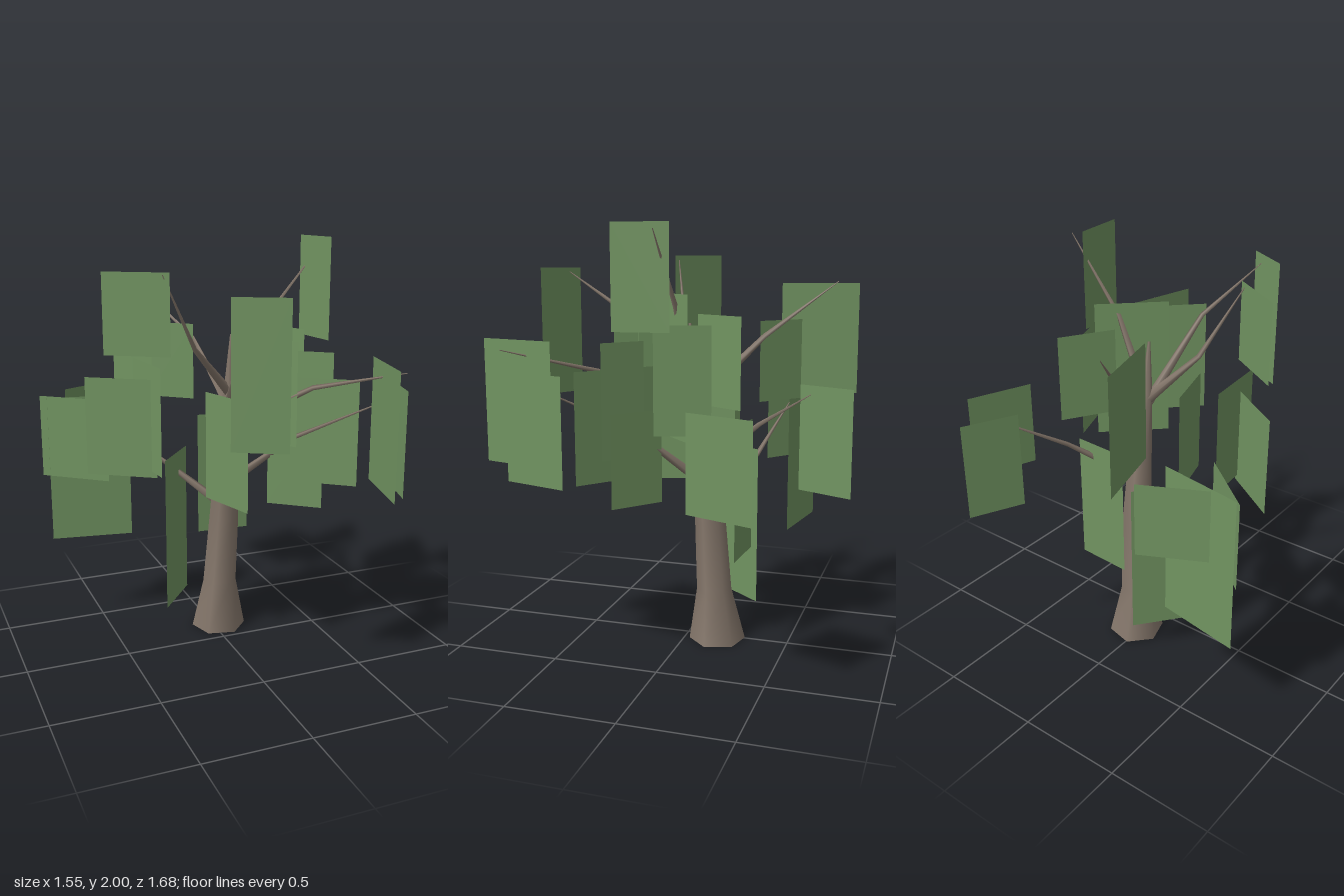
import * as THREE from 'three';

const bark = new THREE.MeshStandardMaterial({ color: 0x85776b });
bark.name = 'bark';
const leaf = new THREE.MeshStandardMaterial({ color: 0x719461, side: THREE.DoubleSide });
leaf.name = 'leaf green';

// Tapered limb: one ring of vertices per [x, y, z, radius] station
function limb(stations, sides, axis) {
  const q = new THREE.Quaternion().setFromUnitVectors(new THREE.Vector3(0, 1, 0), axis.clone().normalize());
  const pos = [], idx = [], v = new THREE.Vector3();
  stations.forEach(([x, y, z, r], i) => {
    for (let k = 0; k < sides; k++) {
      const a = (k / sides) * Math.PI * 2 + 0.29;
      v.set(Math.sin(a) * r, 0, Math.cos(a) * r).applyQuaternion(q);
      pos.push(v.x + x, v.y + y, v.z + z);
      if (i === 0) continue;
      const n = (k + 1) % sides, lo = (i - 1) * sides, hi = i * sides;
      idx.push(lo + k, lo + n, hi + n, lo + k, hi + n, hi + k);
    }
  });
  const g = new THREE.BufferGeometry();
  g.setAttribute('position', new THREE.Float32BufferAttribute(pos, 3));
  g.setIndex(idx);
  g.computeVertexNormals();
  // Base cap with its own vertices keeps the rim sharp
  const count = pos.length / 3;
  const normals = Array.from(g.attributes.normal.array);
  const down = axis.clone().normalize().negate();
  for (let k = 0; k < sides; k++) {
    pos.push(pos[k * 3], pos[k * 3 + 1], pos[k * 3 + 2]);
    normals.push(down.x, down.y, down.z);
    if (k > 0 && k < sides - 1) idx.push(count, count + k + 1, count + k);
  }
  g.setAttribute('position', new THREE.Float32BufferAttribute(pos, 3));
  g.setAttribute('normal', new THREE.Float32BufferAttribute(normals, 3));
  g.setIndex(idx);
  return g;
}

// Upright leaf card between two ground points (x, z), from y0 to y1
function card([xa, za, xb, zb, y0, y1]) {
  const g = new THREE.PlaneGeometry(Math.hypot(xb - xa, zb - za), y1 - y0);
  const m = new THREE.Mesh(g, leaf);
  m.position.set((xa + xb) / 2, (y0 + y1) / 2, (za + zb) / 2);
  m.rotation.y = -Math.atan2(zb - za, xb - xa);
  m.name = 'leafCard';
  return m;
}

export function createModel() {
  const tree = new THREE.Group();
  tree.name = 'tree';

  // Trunk: flared base, leaning slightly forward, tapering to a point
  const trunk = new THREE.Mesh(limb([
    [0.032, 0.005, -0.157, 0.136], [0.032, 0.26, -0.14, 0.084], [0.05, 0.6, -0.125, 0.074],
    [0.052, 0.85, -0.1, 0.062], [0.05, 1.05, -0.083, 0.053], [0.048, 1.3, -0.04, 0.028], [0.046, 1.55, -0.02, 0.006],
  ], 6, new THREE.Vector3(0, 1, 0)), bark);
  trunk.name = 'trunk';
  tree.add(trunk);

  // Branches: start, bend and tip
  const branches = [
    [[0.05, 1.2, -0.08], [-0.025, 1.49, -0.36], [-0.22, 1.74, -0.67]],
    [[0.07, 0.87, -0.1], [0.23, 1.12, -0.4], [0.415, 1.29, -0.66]],
    [[0.03, 0.68, -0.13], [-0.22, 0.89, -0.29], [-0.52, 1.13, -0.4]],
    [[0.06, 1.28, -0.03], [0.23, 1.63, -0.01], [0.51, 1.97, 0]],
    [[0.04, 1.27, -0.04], [-0.17, 1.5, 0.07], [-0.35, 1.85, 0.16]],
    [[0.045, 1.25, -0.03], [-0.01, 1.59, 0.32], [-0.12, 1.78, 0.66]],
    [[0.06, 0.8, -0.08], [0.28, 1.07, 0.18], [0.59, 1.29, 0.5]],
    [[0.06, 1.1, -0.04], [0.3, 1.34, 0.34], [0.565, 1.45, 0.695]],
  ];
  for (const p of branches) {
    const axis = new THREE.Vector3(...p[2]).sub(new THREE.Vector3(...p[0]));
    const r = [0.025, 0.012, 0.002];
    const b = new THREE.Mesh(limb(p.map((s, i) => [...s, r[i]]), 4, axis), bark);
    b.name = 'branch';
    tree.add(b);
  }

  // Foliage cards: xa, za, xb, zb, bottom, top
  const foliage = new THREE.Group();
  foliage.name = 'foliage';
  const right = [
    [-0.58, 0, -0.32, 0.17, 1.49, 1.86],
    [-0.33, -0.755, -0.23, -0.4, 1.2, 1.73],
    [-0.23, 0.65, -0.02, 0.77, 1.17, 1.8],
    [-0.65, -0.09, -0.37, 0.1, 0.92, 1.38],
    [-0.41, -0.125, -0.38, 0.2, 0.95, 1.45],
    [-0.78, -0.51, -0.5, -0.28, 0.81, 1.22],
    [-0.65, -0.52, -0.37, -0.66, 0.9, 1.24],
    [-0.75, -0.485, -0.35, -0.42, 0.47, 1.21],
    [-0.27, -0.09, -0.08, -0.325, 0.17, 0.94],
    [-0.1, 0.02, -0.01, 0.32, 0.77, 1.29],
    [-0.22, -0.5, -0.03, -0.34, 1.18, 1.56],
  ];
  const left = [
    [0.41, -0.04, 0.435, 0.22, 1.53, 2],
    [0, 0.37, 0.19, 0.18, 1.09, 1.63],
    [0.06, 0.15, 0.31, -0.09, 1.03, 1.69],
    [0.4, 0.04, 0.31, -0.2, 1.07, 1.56],
    [0.13, 0.1, 0.25, 0.28, 1.05, 1.54],
    [0.18, -0.1, 0.32, -0.335, 1.19, 1.6],
    [-0.02, -0.31, 0.25, -0.295, 0.47, 1.1],
    [0.2, 0.1, 0.53, 0.36, 0.85, 1.36],
    [0.2, 0.07, 0.41, 0.24, 0.72, 1.16],
    [0.27, 0.13, 0.44, 0.27, 0.95, 1.48],
    [0.44, 0.84, 0.53, 0.47, 0.92, 1.49],
    [0.6, 0.655, 0.69, 0.35, 0.87, 1.36],
    [0.66, -0.19, 0.775, -0.5, 0.8, 1.23],
    [0.33, -0.6, 0.44, -0.84, 0.86, 1.32],
  ];
  for (const c of [...right, ...left]) foliage.add(card(c));
  tree.add(foliage);
  return tree;
}
